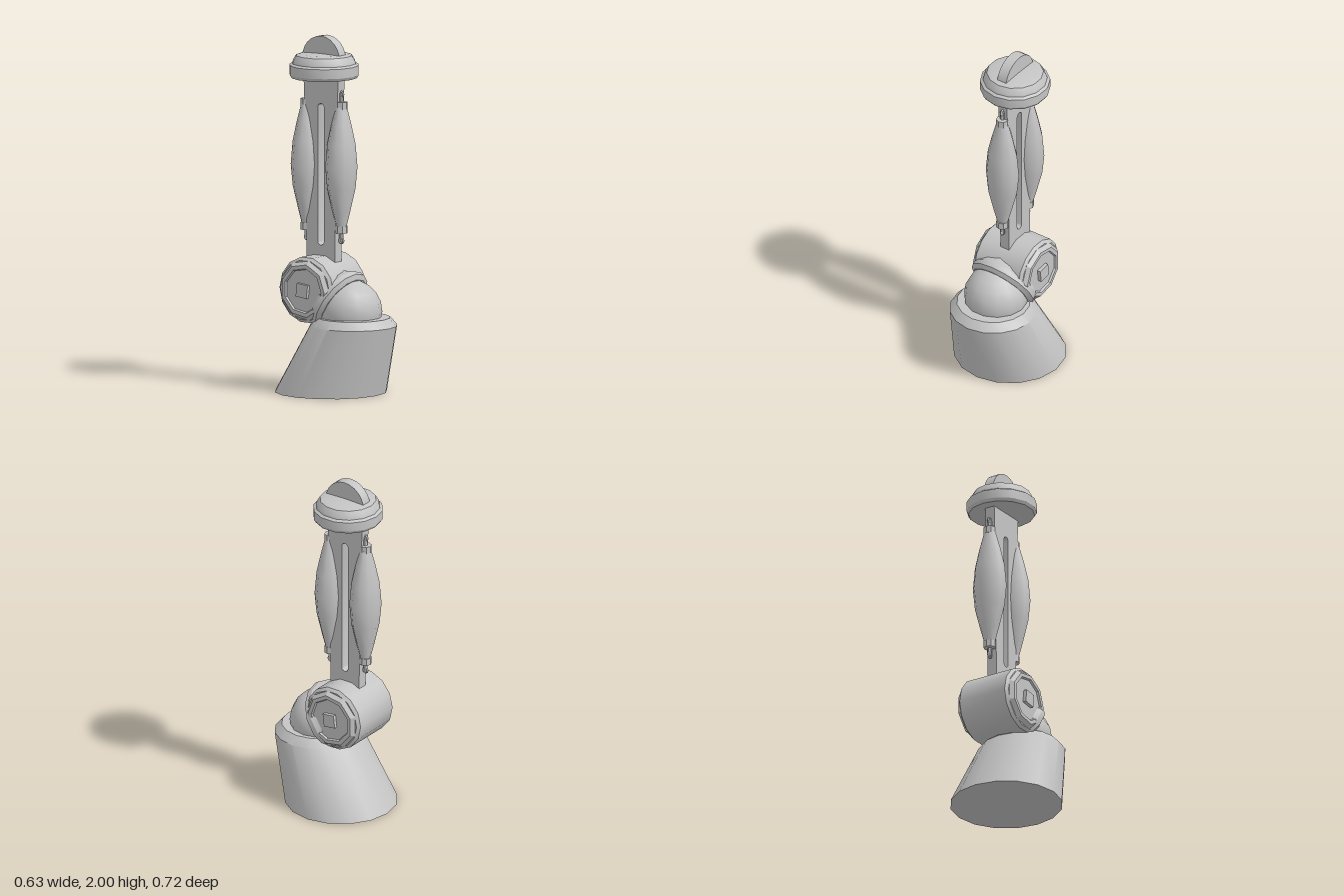
import * as THREE from 'three';
import { toCreasedNormals } from 'three/addons/utils/BufferGeometryUtils.js';

const grey = new THREE.MeshStandardMaterial({ color: 0xc4c4c4 });
grey.name = 'plain grey';

const AXIS_Z = -0.09; // depth of the arm's centre line

function part(name, geometry, x = 0, y = 0, z = 0, crease = 0.6) {
  const mesh = new THREE.Mesh(toCreasedNormals(geometry, crease), grey);
  mesh.name = name;
  mesh.position.set(x, y, z);
  return mesh;
}

// Turned solid; profile runs from bottom to top as [radius, height]
function turned(profile, sides) {
  return new THREE.LatheGeometry(profile.map(([r, y]) => new THREE.Vector2(r, y)), sides);
}

// Tapered base leaning forward: each ring is shifted in z by its height
function makeBase() {
  const g = turned([[0, 0.005], [0.315, 0.005], [0.245, 0.39], [0.205, 0.435], [0, 0.435]], 16);
  const p = g.attributes.position;
  for (let i = 0; i < p.count; i++) {
    const t = Math.min(p.getY(i) / 0.39, 1);
    p.setZ(i, p.getZ(i) - 0.045 + 0.16 * t);
  }
  return part('base', g, 0, 0, 0, 0.5);
}

// Ball joint with a tilted collar that meets the shoulder drum
function makeBallJoint() {
  const group = new THREE.Group();
  group.name = 'ballJoint';
  group.add(part('ball', new THREE.SphereGeometry(0.18, 14, 10), 0, 0.465, 0.09, 0.8));
  const collar = part('collar', turned(
    [[0, 0], [0.15, 0], [0.17, 0.08], [0.198, 0.12], [0.2, 0.15], [0.175, 0.17], [0, 0.17]], 14),
    0, 0.585, -0.1, 0.5);
  collar.quaternion.setFromUnitVectors(
    new THREE.Vector3(0, 1, 0), new THREE.Vector3(0, -0.52, 0.855).normalize());
  group.add(collar);
  return group;
}

// Horizontal drum with a stepped cap and square bolt at each end
function makeShoulder() {
  const group = new THREE.Group();
  group.name = 'shoulder';
  group.position.set(0, 0.585, -0.1);
  const drum = part('drum', turned(
    [[0, -0.165], [0.17, -0.165], [0.187, -0.15], [0.187, 0.15], [0.17, 0.165], [0, 0.165]], 14));
  drum.rotation.z = -Math.PI / 2;
  group.add(drum);
  for (const side of [-1, 1]) {
    const cap = part('endCap', turned(
      [[0.16, 0.15], [0.17, 0.165], [0.15, 0.187], [0.128, 0.187], [0.122, 0.176], [0, 0.176]], 9),
      0, 0, 0, 0.4);
    cap.rotation.z = -side * Math.PI / 2;
    const bolt = part('bolt', new THREE.BoxGeometry(0.03, 0.075, 0.075), side * 0.181);
    bolt.rotation.x = 0.12;
    group.add(cap, bolt);
  }
  return group;
}

// Flat plate with a long slot and a rounded top
function makeArmPlate() {
  const s = new THREE.Shape();
  s.moveTo(-0.098, 0.72);
  s.lineTo(0.098, 0.72);
  s.lineTo(0.105, 1.4);
  s.lineTo(0.12, 1.76);
  s.lineTo(0.13, 1.87);
  s.absarc(0, 1.87, 0.13, 0, Math.PI, false);
  s.lineTo(-0.12, 1.76);
  s.lineTo(-0.105, 1.4);
  const slot = new THREE.Path();
  slot.moveTo(0.021, 0.846);
  slot.lineTo(0.021, 1.6);
  slot.absarc(0, 1.6, 0.021, 0, Math.PI, false);
  slot.lineTo(-0.021, 0.846);
  slot.absarc(0, 0.846, 0.021, Math.PI, Math.PI * 2, false);
  s.holes.push(slot);
  const g = new THREE.ExtrudeGeometry(s, { depth: 0.06, bevelEnabled: false, curveSegments: 6 });
  g.translate(0, 0, -0.03);
  g.rotateY(Math.PI / 2);
  return part('armPlate', g, 0, 0, AXIS_Z);
}

// Spindle-shaped actuator with end clamps, rods and eyelets
function makeActuator(name, z) {
  const group = new THREE.Group();
  group.name = name;
  group.position.z = z;
  const spindle = part('spindle', turned(
    [[0, 0.93], [0.03, 0.93], [0.055, 1.02], [0.088, 1.15], [0.1, 1.27],
      [0.088, 1.4], [0.062, 1.51], [0.034, 1.61], [0, 1.61]], 10), 0, 0, 0, 0.8);
  spindle.scale.z = 0.84;
  group.add(spindle);
  for (const [y, dir] of [[0.92, -1], [1.617, 1]]) {
    group.add(part('clamp', new THREE.CylinderGeometry(0.035, 0.035, 0.04, 8), 0, y));
    group.add(part('rod', new THREE.CylinderGeometry(0.013, 0.013, 0.06, 6), 0, y + dir * 0.04));
    const eyelet = part('eyelet', new THREE.TorusGeometry(0.014, 0.007, 5, 8), 0, y + dir * 0.063, 0, 1);
    eyelet.rotation.y = Math.PI / 2;
    group.add(eyelet);
  }
  return group;
}

export function createModel() {
  const model = new THREE.Group();
  model.name = 'roboticArm';
  model.add(makeBase(), makeBallJoint(), makeShoulder(), makeArmPlate());
  model.add(makeActuator('frontActuator', 0.03), makeActuator('backActuator', -0.21));

  // Stepped disc around the top of the plate
  model.add(part('headDisc', turned(
    [[0, 1.765], [0.185, 1.765], [0.196, 1.782], [0.196, 1.835], [0.18, 1.845],
      [0.176, 1.86], [0.158, 1.89], [0.13, 1.898], [0, 1.902]], 14), 0, 0, AXIS_Z, 0.5));
  return model;
}
